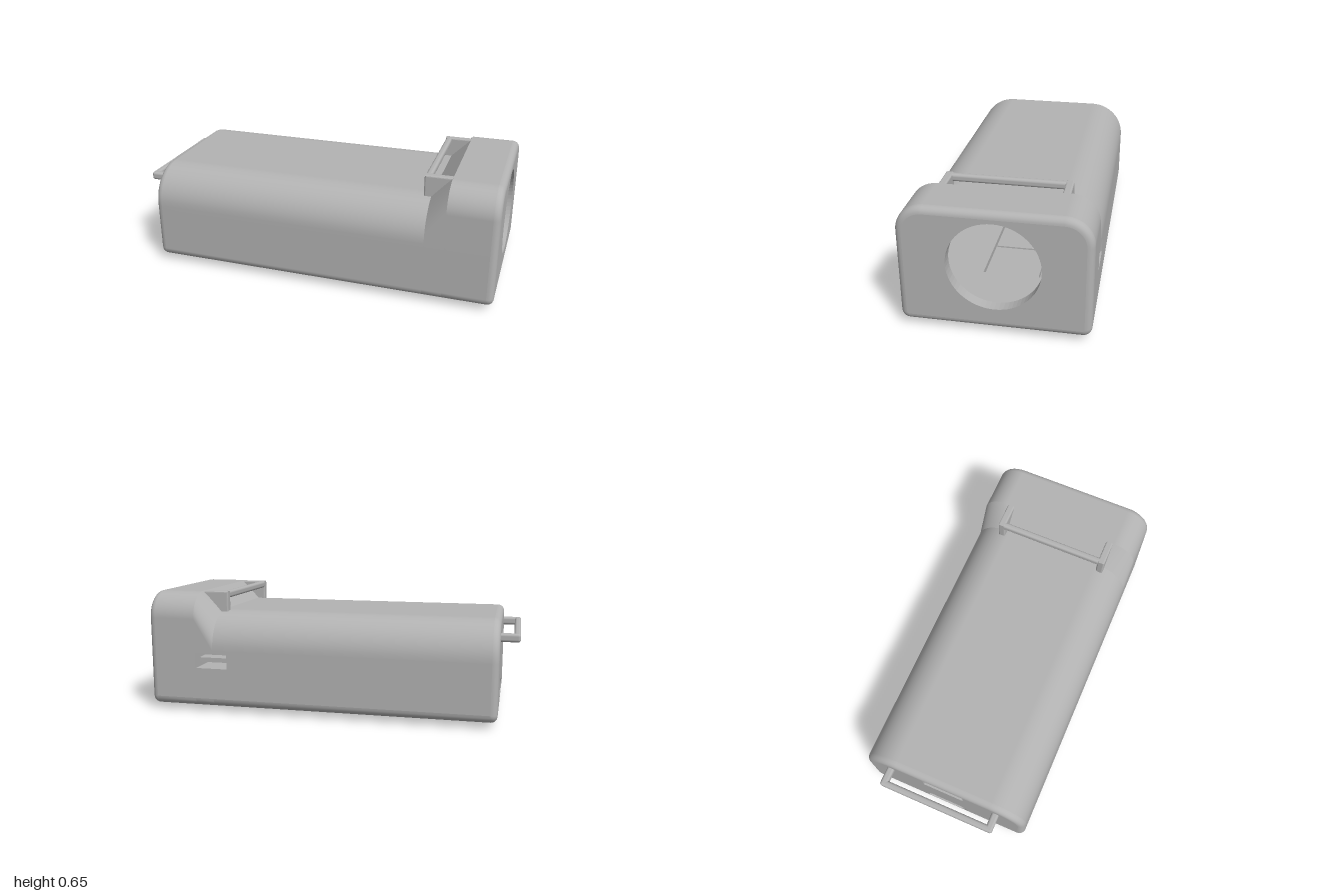
import * as THREE from 'three';
import { RoundedBoxGeometry } from 'three/addons/geometries/RoundedBoxGeometry.js';

const W = 0.47, BASE = 0.03, BOTTOM_R = 0.045, SPLIT = 0.34, FILLET = 0.035, WALL = 0.03;
const BODY = { top: 0.55, r: 0.2 }, HEAD = { top: 0.655, r: 0.14 };
const REAR = -0.9, FRONT = 1, SLOPE0 = 0.63, SLOPE1 = 0.735;
const NB = 5, NT = 14;

// Arched cross-section as [z, y] points, shrunk by an inset
function section({ top, r }, inset) {
  const pts = [];
  const arc = (z, y, rad, start, n) => {
    for (let i = 0; i <= n; i++) {
      const a = start + (Math.PI / 2) * (i / n);
      pts.push([z + rad * Math.cos(a), y + rad * Math.sin(a)]);
    }
  };
  const b = BOTTOM_R - inset, t = r - inset;
  arc(-W + BOTTOM_R, BASE + BOTTOM_R, b, Math.PI, NB);
  arc(W - BOTTOM_R, BASE + BOTTOM_R, b, 1.5 * Math.PI, NB);
  pts.push([W - inset, SPLIT]);
  arc(W - r, top - r, t, 0, NT);
  arc(-W + r, top - r, t, Math.PI / 2, NT);
  pts.push([-W + inset, SPLIT]);
  return pts;
}

// Skin through rings [x, profile, inset]; open leaves room for the floor and back wall
function loft(rings, open) {
  const pos = [], idx = [];
  let n = 0;
  for (const [x, profile, inset] of rings) {
    const pts = section(profile, inset);
    n = pts.length;
    for (const [z, y] of pts) pos.push(x, y, z);
  }
  for (let i = 0; i < rings.length - 1; i++) {
    for (let j = 0; j < n; j++) {
      if (open && (j === NB || j === n - 1)) continue;
      const a = i * n + j, b = i * n + (j + 1) % n, c = a + n, d = b + n;
      idx.push(a, b, c, b, d, c);
    }
  }
  const g = new THREE.BufferGeometry();
  g.setAttribute('position', new THREE.Float32BufferAttribute(pos, 3));
  g.setIndex(idx);
  g.computeVertexNormals();
  return g;
}

const polygon = (pts) => new THREE.Shape(pts.map(([x, y]) => new THREE.Vector2(x, y)));
const rect = (x0, x1, y0, y1) => polygon([[x0, y0], [x1, y0], [x1, y1], [x0, y1]]);
const circle = (x, y, r) => new THREE.Shape().absarc(x, y, r, 0, Math.PI * 2, false);

function extrude(shape, depth, holes = []) {
  shape.holes.push(...holes);
  return new THREE.ExtrudeGeometry(shape, { depth, bevelEnabled: false, curveSegments: 32 });
}

export function createModel() {
  const model = new THREE.Group();
  const grey = new THREE.MeshStandardMaterial({ color: 0xb3b3b3, side: THREE.DoubleSide });
  grey.name = 'grey plastic';
  const add = (name, geometry, x = 0, y = 0, z = 0) => {
    const m = new THREE.Mesh(geometry, grey);
    m.name = name;
    m.position.set(x, y, z);
    model.add(m);
    return m;
  };
  const box = (name, x0, x1, y0, y1, z0, z1) =>
    add(name, new THREE.BoxGeometry(x1 - x0, y1 - y0, z1 - z0), (x0 + x1) / 2, (y0 + y1) / 2, (z0 + z1) / 2);
  const rod = (name, x0, x1, y0, y1, z0, z1) =>
    add(name, new RoundedBoxGeometry(x1 - x0, y1 - y0, z1 - z0, 3, 0.014), (x0 + x1) / 2, (y0 + y1) / 2, (z0 + z1) / 2);

  // Outer skin with rounded end edges
  const rearFillet = [], frontFillet = [];
  for (let i = 0; i <= 6; i++) {
    const a = (Math.PI / 2) * (i / 6);
    const dx = FILLET * (1 - Math.sin(a)), inset = FILLET * (1 - Math.cos(a));
    rearFillet.unshift([REAR + dx, BODY, inset]);
    frontFillet.push([FRONT - dx, HEAD, inset]);
  }
  const x0 = REAR + FILLET, x1 = FRONT - FILLET;
  add('rearEdge', loft(rearFillet));
  add('bodyShell', loft([[x0, BODY, 0], [SLOPE0, BODY, 0]], true));
  add('headSlope', loft([[SLOPE0, BODY, 0], [SLOPE1, HEAD, 0]], true));
  add('headShell', loft([[SLOPE1, HEAD, 0], [x1, HEAD, 0]], true));
  add('frontEdge', loft(frontFillet));

  // Inner lining, facing inward
  add('bodyLining', loft([[SLOPE0, BODY, WALL], [REAR + WALL, BODY, WALL]], true));
  add('slopeLining', loft([[SLOPE1, HEAD, WALL], [SLOPE0, BODY, WALL]], true));
  add('headLining', loft([[0.94, HEAD, WALL], [SLOPE1, HEAD, WALL]], true));

  // End walls: round opening in front, strap slot and port in the rear
  const port = new THREE.Path();
  port.absarc(0.08, 0.114, 0.038, -Math.PI / 2, Math.PI / 2, false);
  port.absarc(-0.08, 0.114, 0.038, Math.PI / 2, 1.5 * Math.PI, false);
  add('frontWall', extrude(polygon(section(HEAD, FILLET)), 0.06, [circle(0, 0.37, 0.23)])
    .rotateY(-Math.PI / 2), FRONT);
  add('rearWall', extrude(polygon(section(BODY, FILLET)), WALL, [rect(-0.115, 0.115, 0.415, 0.505), port])
    .rotateY(-Math.PI / 2), REAR + WALL);

  // Floor with the spring-clip slits, a square opening and two pin holes
  const s = 0.15, h = 0.007, mid = 0.28;
  const slits = polygon([
    [0, -s - h], [0.56, -s - h], [0.56, -s + h], [mid + h, -s + h], [mid + h, s - h], [0.56, s - h],
    [0.56, s + h], [0, s + h], [0, s - h], [mid - h, s - h], [mid - h, -s + h], [0, -s + h],
  ]);
  const zf = W - BOTTOM_R;
  add('floor', extrude(rect(x0, x1, -zf, zf), WALL, [
    slits, rect(0.78, 0.86, 0.305, 0.395), circle(-0.68, -0.225, 0.014), circle(-0.79, -0.225, 0.014),
  ]).rotateX(Math.PI / 2), 0, BASE + WALL);

  // Back wall with the switch opening, its recess and the slider
  add('backWall', extrude(rect(x0, x1, BASE + BOTTOM_R, SPLIT), WALL, [rect(0.55, 0.73, 0.245, 0.33)]), 0, 0, -W);
  const recess = new THREE.BoxGeometry(0.18, 0.085, 0.24);
  recess.setIndex(Array.from(recess.index.array).slice(0, 30));
  add('switchRecess', recess, 0.64, 0.2875, -0.32);
  box('switchHousingTop', 0.55, 0.73, 0.332, 0.41, -0.44, -0.2);
  box('switchSlider', 0.56, 0.72, 0.275, 0.3, -0.44, -0.36);

  // Inner fittings
  box('slotHood', -0.83, -0.76, 0.445, 0.515, -0.108, 0.108);
  for (const side of [-1, 1]) box('innerPost', -0.8, -0.72, 0.06, 0.22, side * 0.19 - 0.05, side * 0.19 + 0.05);

  // Arrow-shaped feet
  for (const [tip, base] of [[0.48, 0.35], [0.09, 0.23]]) {
    add('arrowFoot', extrude(polygon([[tip, 0], [base, 0.075], [base, -0.075]]), 0.035)
      .rotateX(Math.PI / 2), 0, 0.035);
  }

  // Rear strap loop
  rod('rearLoopBar', -1, -0.965, 0.43, 0.475, -0.325, 0.325);
  for (const z of [-0.305, 0.305]) rod('rearLoopArm', -1, -0.88, 0.43, 0.475, z - 0.02, z + 0.02);

  // Head strap loop with side plates
  rod('headLoopBar', 0.59, 0.625, 0.615, 0.655, -0.325, 0.325);
  const b = 0.008;
  for (const z of [-0.305, 0.305]) {
    const plate = polygon([
      [0.59 + b, 0.52 + b], [0.64, 0.52 + b], [0.74, 0.63], [0.74, 0.655 - b], [0.59 + b, 0.655 - b],
    ]);
    add('headLoopSide', new THREE.ExtrudeGeometry(plate, {
      depth: 0.04 - 2 * b, bevelSize: b, bevelThickness: b, bevelSegments: 3,
    }), 0, 0, z - 0.02 + b);
  }
  return model;
}
